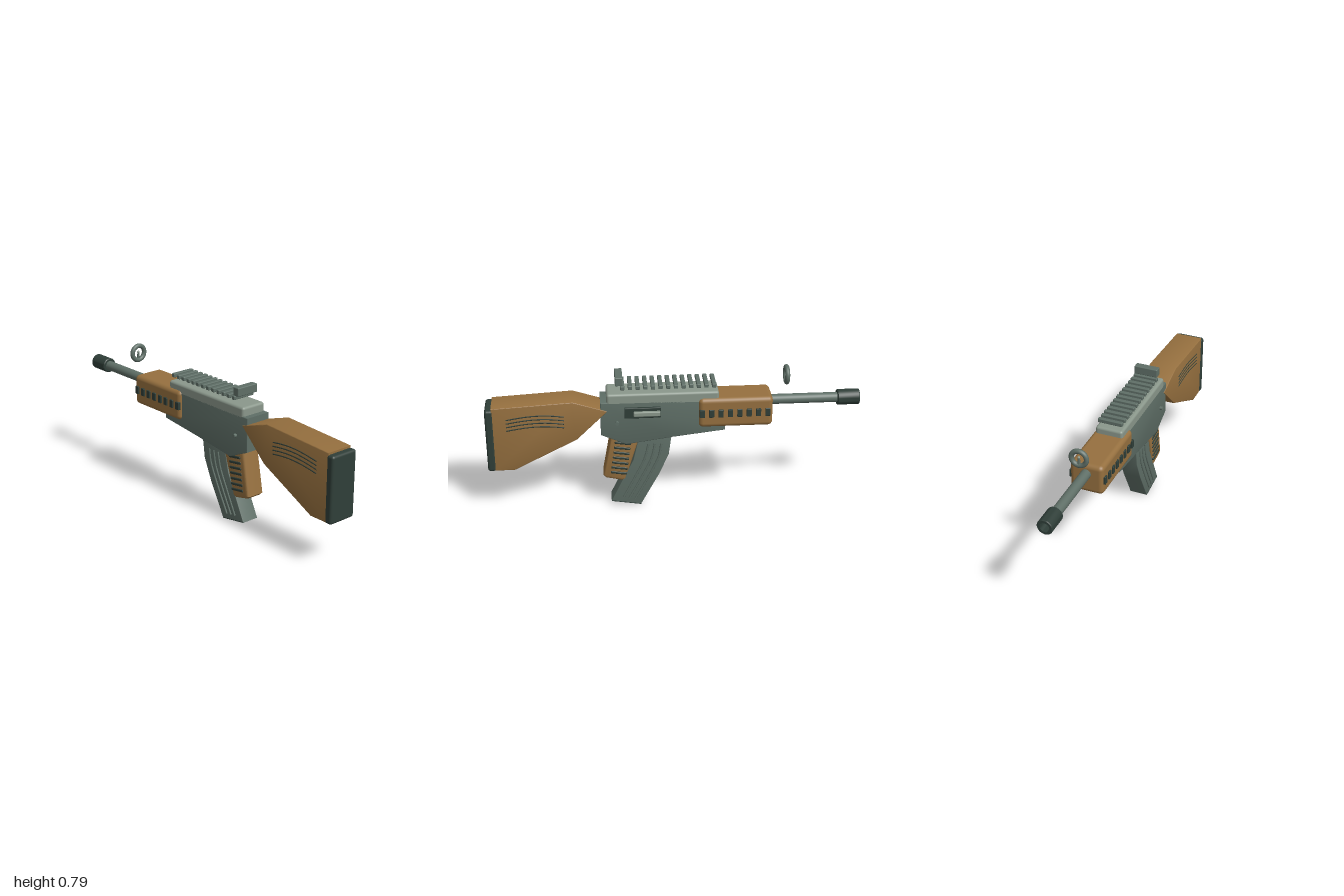
import * as THREE from 'three';
import { RoundedBoxGeometry } from 'three/addons/geometries/RoundedBoxGeometry.js';
import { toCreasedNormals } from 'three/addons/utils/BufferGeometryUtils.js';

const mat = (color) => new THREE.MeshStandardMaterial({ color });
const wood = mat(0x96703f);
const steel = mat(0x5f6f67);
const pale = mat(0x8a978b);
const dark = mat(0x2f3e38);

// Extrude a [z, y] side outline across x, centred on x = 0
function slab(outline, width, bevel) {
  const shape = new THREE.Shape(outline.map(([z, y]) => new THREE.Vector2(-z, y)));
  const g = new THREE.ExtrudeGeometry(shape, {
    depth: width - 2 * bevel, bevelEnabled: bevel > 0, bevelThickness: bevel,
    bevelSize: bevel, bevelOffset: -bevel, bevelSegments: 3,
  });
  g.translate(0, 0, bevel - width / 2);
  g.rotateY(Math.PI / 2);
  return toCreasedNormals(g, 0.6);
}

export function createModel() {
  const model = new THREE.Group();
  model.name = 'rifle';
  model.position.x = -0.005;

  const add = (name, geometry, material, x = 0, y = 0, z = 0, parent = model) => {
    const mesh = new THREE.Mesh(geometry, material);
    mesh.name = name;
    mesh.position.set(x, y, z);
    parent.add(mesh);
    return mesh;
  };
  const group = (name) => {
    const g = new THREE.Group();
    g.name = name;
    model.add(g);
    return g;
  };
  const box = (w, h, d, r) => new RoundedBoxGeometry(w, h, d, 3, r);
  const rod = (r, length) => new THREE.CylinderGeometry(r, r, length, 32).rotateX(Math.PI / 2);

  // Stock and butt pad
  add('stock', slab([[0.965, 0.625], [0.537, 0.649], [0.355, 0.59], [0.52, 0.43],
    [0.858, 0.26], [0.965, 0.26]], 0.155, 0.004), wood);
  add('buttPad', box(0.164, 0.358, 0.044, 0.014), dark, 0, 0.436, 0.978);

  // Curved grain lines on both faces of the stock
  const grain = group('stockGrain');
  for (const side of [-1, 1]) {
    for (let i = 0; i < 4; i++) {
      const pts = [];
      for (let k = 0; k <= 6; k++) {
        const t = k / 6;
        pts.push(new THREE.Vector3(side * 0.077,
          0.558 - i * 0.021 + 0.02 * Math.sin(t * Math.PI * 0.85), 0.89 - 0.305 * t));
      }
      add('grainLine', new THREE.TubeGeometry(new THREE.CatmullRomCurve3(pts), 24, 0.0035, 6),
        dark, 0, 0, 0, grain);
    }
  }

  // Receiver and its top cover
  add('receiver', slab([[0.392, 0.637], [0.392, 0.45], [0.258, 0.39], [0.012, 0.425],
    [-0.27, 0.458], [-0.27, 0.637]], 0.15, 0.004), steel);
  add('topCover', box(0.15, 0.07, 0.595, 0.014), pale, 0, 0.65, 0.062);

  // Ejection port, bolt and cross pin
  add('ejectionPort', box(0.03, 0.06, 0.192, 0.004), dark, 0.073, 0.579, 0.17);
  add('bolt', box(0.03, 0.026, 0.142, 0.005), pale, 0.09, 0.578, 0.147);
  add('crossPin', new THREE.CylinderGeometry(0.01, 0.01, 0.182, 20).rotateZ(Math.PI / 2),
    steel, 0, 0.522, 0.305);

  // Top rail with rear sight
  const rail = group('topRail');
  for (let i = 0; i < 13; i++) {
    add('railTooth', box(0.136, 0.022, 0.022, 0.004), steel, 0, 0.716, 0.274 - i * 0.0403, rail);
  }
  add('rearSight', box(0.132, 0.047, 0.04, 0.005), steel, 0, 0.752, 0.292);

  // Handguard with vent slots
  add('handguard', box(0.182, 0.168, 0.396, 0.025), wood, 0, 0.564, -0.325);
  const vents = group('handguardVents');
  for (const side of [-1, 1]) {
    for (let i = 0; i < 8; i++) {
      add('vent', box(0.018, 0.044, 0.027, 0.003), dark, side * 0.09, 0.565, -0.145 - i * 0.05, vents);
    }
  }

  // Barrel and hollow muzzle
  add('barrel', rod(0.027, 0.43), steel, 0, 0.595, -0.695);
  const muzzle = [[0.02, -0.06], [0.038, -0.06], [0.042, -0.056], [0.042, 0.056],
    [0.038, 0.06], [0.026, 0.06], [0.026, -0.005], [0, -0.005]];
  const muzzleGeo = new THREE.LatheGeometry(muzzle.map(([r, y]) => new THREE.Vector2(r, y)), 32);
  add('muzzle', toCreasedNormals(muzzleGeo.rotateX(-Math.PI / 2), 0.6), dark, 0, 0.595, -0.94);

  // Ring front sight with aiming post
  const sight = group('frontSight');
  add('sightRing', new THREE.TorusGeometry(0.041, 0.013, 16, 40), steel, 0, 0.738, -0.602, sight);
  add('sightPost', new THREE.CylinderGeometry(0.006, 0.009, 0.058, 16), steel, 0, 0.714, -0.602, sight);
  add('sightTip', new THREE.SphereGeometry(0.007, 16, 10), pale, 0, 0.743, -0.602, sight);

  // Pistol grip with ribs
  add('grip', slab([[0.34, 0.43], [0.384, 0.19], [0.37, 0.177], [0.285, 0.158],
    [0.265, 0.166], [0.185, 0.42]], 0.11, 0.014), wood);
  const ribs = group('gripRibs');
  for (const side of [-1, 1]) {
    for (let i = 0; i < 7; i++) {
      const rib = add('gripRib', box(0.014, 0.014, 0.088, 0.004), dark,
        side * 0.053, 0.388 - i * 0.03, 0.277 + i * 0.004, ribs);
      rib.rotation.x = -0.15;
    }
  }

  // Curved magazine between a front and a rear edge
  const front = [[0.012, 0.44], [0.03, 0.308], [0.082, 0.19], [0.183, 0.004]];
  const rear = [[0.185, 0.44], [0.222, 0.28], [0.28, 0.163], [0.344, 0.03]];
  add('magazine', slab([...rear, ...front.slice().reverse()], 0.101, 0.003), steel);
  add('magazineFloor', slab([[0.344, 0.03], [0.183, 0.004], [0.181, 0.008], [0.342, 0.034]],
    0.1015, 0), dark);

  // Raised ribs along the magazine sides
  const magRibs = group('magazineRibs');
  for (const side of [-1, 1]) {
    for (const f of [0.28, 0.48, 0.68]) {
      const pts = front.map(([z, y], i) => new THREE.Vector3(side * 0.051,
        y + (rear[i][1] - y) * f + [-0.065, 0, 0, 0.028][i],
        z + (rear[i][0] - z) * f + [0.01, 0, 0, -0.014][i]));
      add('magazineRib', new THREE.TubeGeometry(new THREE.CatmullRomCurve3(pts), 24, 0.006, 8),
        steel, 0, 0, 0, magRibs);
    }
  }
  return model;
}
